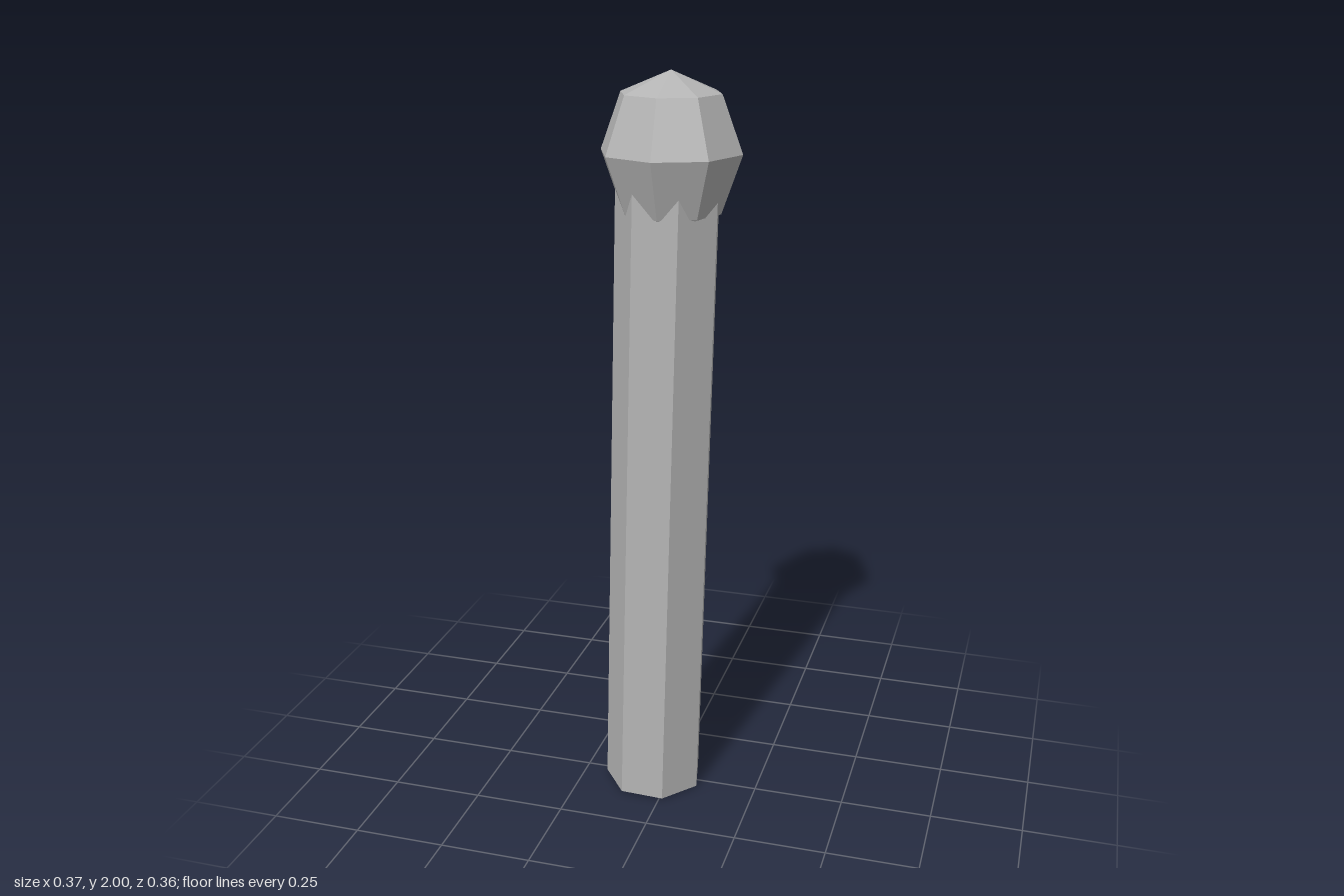
import * as THREE from 'three';

export function createModel() {
  const model = new THREE.Group();
  const grey = new THREE.MeshStandardMaterial({ color: 0xb4b4b4, flatShading: true });
  grey.name = 'grey';

  // Seven-sided shaft, leaning slightly towards +x and ending inside the head
  const length = 1.8, lean = 0.027;
  const shaftGeometry = new THREE.CylinderGeometry(
    0.138, 0.138, length, 7, 1, false, THREE.MathUtils.degToRad(25.3));
  shaftGeometry.translate(0, length / 2, 0);
  const shaft = new THREE.Mesh(shaftGeometry, grey);
  shaft.name = 'shaft';
  shaft.position.set(-0.05, 0.0036, 0);
  shaft.rotation.z = -lean;
  model.add(shaft);

  // Eight-sided faceted head
  const profile = [[0, 1.59], [0.131, 1.65], [0.185, 1.8], [0.131, 1.945], [0, 2]]
    .map(([r, y]) => new THREE.Vector2(r, y));
  const head = new THREE.Mesh(new THREE.LatheGeometry(profile, 8), grey);
  head.name = 'head';
  head.scale.z = 0.98;
  model.add(head);

  return model;
}
